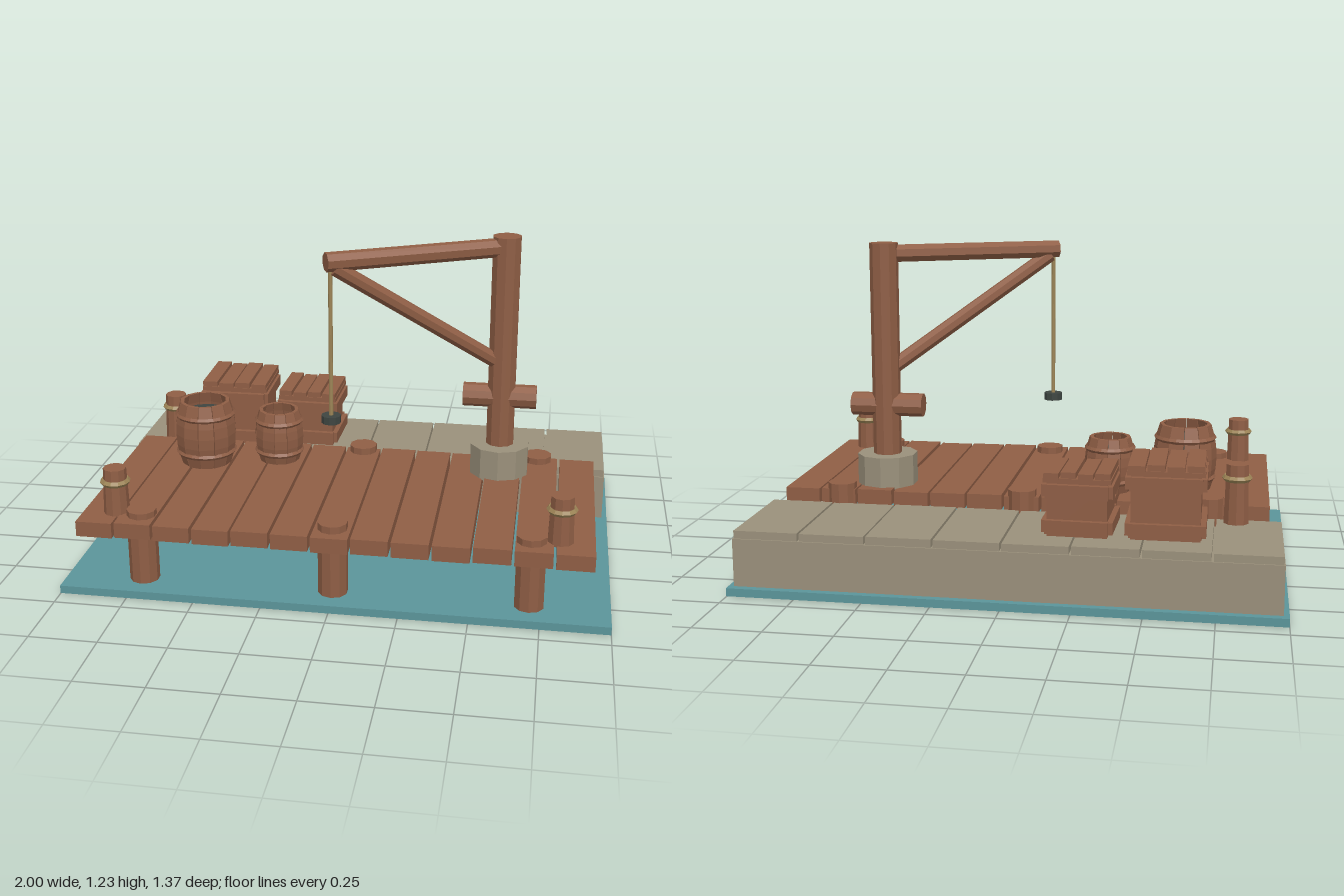
import * as THREE from 'three';

const material = (name, color) => {
  const m = new THREE.MeshStandardMaterial({ color });
  m.name = name;
  return m;
};

export function createModel() {
  const wood = material('wood', 0x8f5e45);
  const stone = material('stone', 0x9a907b);
  const water = material('water', 0x5b959a);
  const rope = material('rope', 0x9c8456);
  const iron = material('iron', 0x3e4541);

  const model = new THREE.Group();
  model.name = 'harbourDock';

  // Faceted mesh: every face gets its own normal
  const add = (parent, name, geometry, mat, x = 0, y = 0, z = 0) => {
    const flat = geometry.index ? geometry.toNonIndexed() : geometry;
    flat.computeVertexNormals();
    const mesh = new THREE.Mesh(flat, mat);
    mesh.name = name;
    mesh.position.set(x, y, z);
    parent.add(mesh);
    return mesh;
  };
  const box = (parent, name, mat, w, h, d, x, y, z) =>
    add(parent, name, new THREE.BoxGeometry(w, h, d), mat, x, y, z);
  // Upright post from y0 to y1
  const post = (parent, name, mat, r0, r1, y0, y1, x, z) =>
    add(parent, name, new THREE.CylinderGeometry(r1, r0, y1 - y0, 10), mat, x, (y0 + y1) / 2, z);
  // Round beam between two points
  const beam = (parent, name, mat, r, from, to, sides = 8) => {
    const a = new THREE.Vector3(...from), b = new THREE.Vector3(...to);
    const mesh = add(parent, name, new THREE.CylinderGeometry(r, r, a.distanceTo(b), sides), mat);
    mesh.position.copy(a).add(b).multiplyScalar(0.5);
    mesh.quaternion.setFromUnitVectors(new THREE.Vector3(0, 1, 0), b.clone().sub(a).normalize());
    return mesh;
  };
  const group = (name, x, y, z, turn = 0) => {
    const g = new THREE.Group();
    g.name = name;
    g.position.set(x, y, z);
    g.rotation.y = turn;
    model.add(g);
    return g;
  };

  // Water sheet
  box(model, 'water', water, 2, 0.03, 1.37, 0, 0.017, 0);

  // Stone quay with paving slabs
  box(model, 'quayWall', stone, 1.96, 0.18, 0.44, 0, 0.12, -0.437);
  for (let i = 0; i < 8; i++) {
    box(model, 'quaySlab', stone, 0.237, 0.03, 0.428, (i - 3.5) * 0.245, 0.223 + (i % 3) * 0.001, -0.437);
  }

  // Timber deck
  for (let i = 0; i < 13; i++) {
    box(model, 'deckPlank', wood, 0.134, 0.058, 0.86, (i - 6) * 0.1442, 0.258 + ((i * 2) % 3 - 1) * 0.002, 0.23);
  }
  for (const x of [-0.71, 0, 0.71]) {
    for (const z of [0.57, -0.177]) post(model, 'pile', wood, 0.055, 0.055, 0, 0.312, x, z);
  }

  // Mooring posts with rope lashings
  for (const [x, y, z] of [[-0.81, 0.28, 0.55], [0.81, 0.28, 0.55], [-0.81, 0.235, -0.252]]) {
    post(model, 'mooringPost', wood, 0.048, 0.042, y, 0.46, x, z);
    const ring = new THREE.TorusGeometry(0.044, 0.012, 5, 12).rotateX(Math.PI / 2);
    add(model, 'ropeLashing', ring, rope, x, 0.408, z);
  }

  // Crane
  const mx = 0.56, mz = -0.052;
  post(model, 'craneFoot', stone, 0.117, 0.117, 0.28, 0.406, mx, mz);
  post(model, 'craneMast', wood, 0.055, 0.055, 0.3, 1.232, mx, mz);
  beam(model, 'craneHandle', wood, 0.046, [0.412, 0.6, mz], [0.695, 0.6, mz], 10);
  beam(model, 'craneBoom', wood, 0.036, [0.55, 1.19, -0.047], [-0.07, 1.19, 0.284]);
  beam(model, 'craneBrace', wood, 0.03, [0.54, 0.742, -0.04], [-0.04, 1.168, 0.268]);
  post(model, 'craneRope', rope, 0.008, 0.008, 0.595, 1.17, -0.055, 0.272);
  post(model, 'craneWeight', iron, 0.037, 0.037, 0.576, 0.605, -0.055, 0.272);

  // Barrels: bulging staves, hoops and a sunken dark fill
  const barrel = (R, H, x, z) => {
    const g = group('barrel', x, 0.287, z);
    const count = 12, thick = 0.014;
    const radius = y => R * (1 - 0.19 * (2 * y / H - 1) ** 2);
    for (let i = 0; i < count; i++) {
      const stave = new THREE.BoxGeometry(1, H, thick, 1, 6, 1).translate(0, H / 2, 0);
      const p = stave.attributes.position;
      for (let k = 0; k < p.count; k++) {
        const r = radius(p.getY(k)) - thick / 2 + p.getZ(k);
        p.setX(k, p.getX(k) * 2 * r * Math.tan(Math.PI / count) * 0.95);
        p.setZ(k, r);
      }
      add(g, 'stave', stave, wood).rotation.y = (i + 0.5) * Math.PI * 2 / count;
    }
    for (const t of [0.2, 0.8]) {
      const r = radius(t * H) + 0.003;
      const hoop = new THREE.TorusGeometry(r, 0.007, 4, 24).rotateX(Math.PI / 2).scale(1, 1.5, 1);
      add(g, 'hoop', hoop, wood, 0, t * H, 0);
    }
    post(g, 'barrelFill', iron, R * 0.76, R * 0.76, 0.01, H - 0.05, 0, 0);
  };
  barrel(0.118, 0.258, -0.607, 0.026);
  barrel(0.095, 0.212, -0.322, -0.04);

  // Crates: body, rails round top and bottom, slatted lid
  const crate = (w, h, d, x, z, turn) => {
    const g = group('crate', x, 0.238, z, turn);
    const t = 0.02, rail = 0.05, bodyTop = h - 0.045;
    box(g, 'crateBody', wood, w - 2 * t, bodyTop, d - 2 * t, 0, bodyTop / 2 + 0.003, 0);
    for (const y of [0.04, bodyTop - rail / 2]) {
      for (const s of [-1, 1]) {
        box(g, 'crateRail', wood, w - 0.03, rail, t, 0, y, s * (d - t) / 2);
        box(g, 'crateRail', wood, t, rail - 0.006, d - 0.03, s * (w - t) / 2, y, 0);
      }
    }
    box(g, 'crateLid', wood, w - 0.012, 0.016, d - 0.03, 0, bodyTop + 0.012, 0);
    for (let i = 0; i < 4; i++) {
      const pitch = (w - 0.01) / 4;
      box(g, 'crateSlat', wood, pitch - 0.008, 0.022, d - 0.025, (i - 1.5) * pitch, h - 0.012 - (i % 2) * 0.005, 0);
    }
  };
  crate(0.285, 0.277, 0.295, -0.565, -0.412, 0.01);
  crate(0.255, 0.24, 0.265, -0.258, -0.432, -0.025);

  return model;
}
